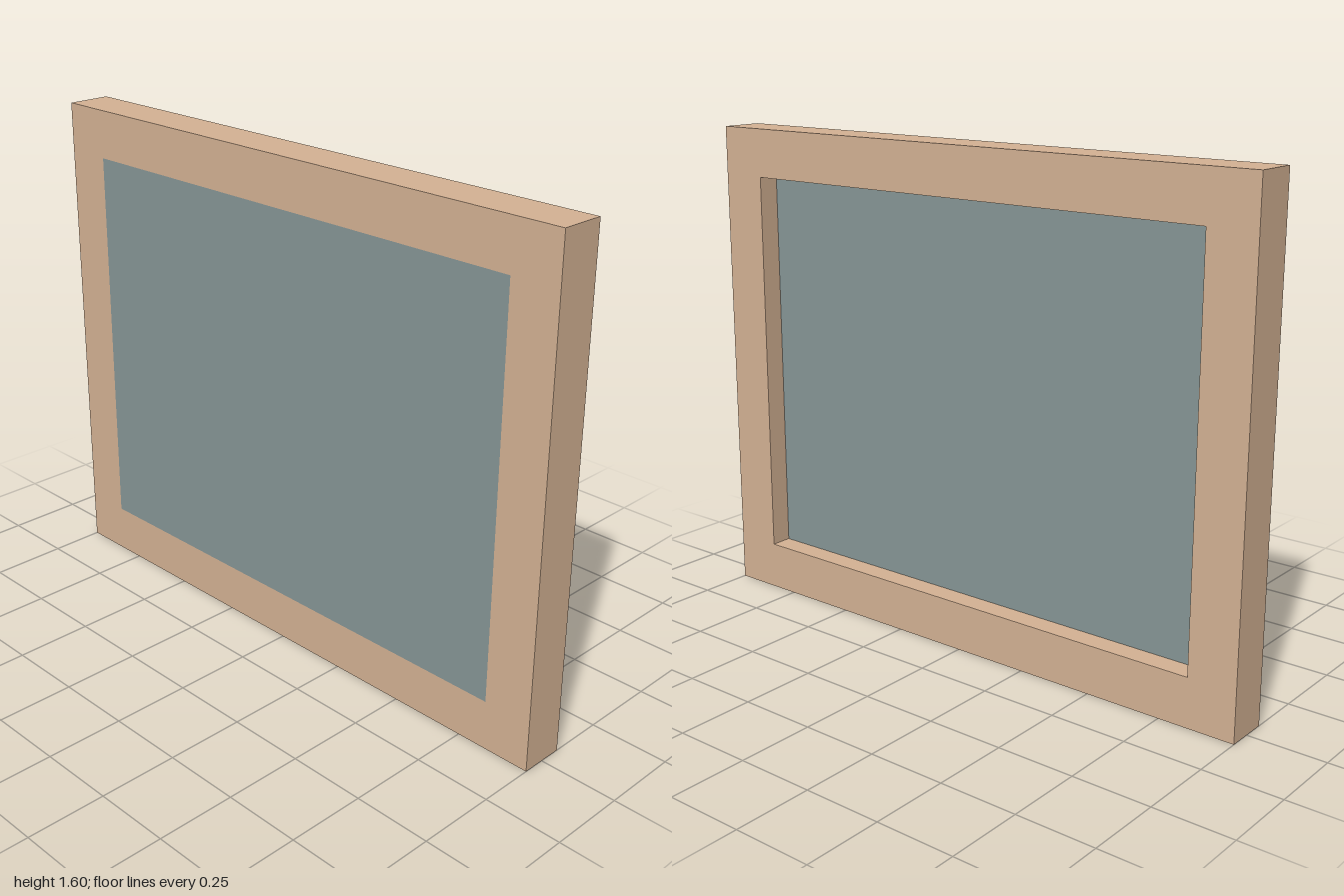
import * as THREE from 'three';

const W = 2, H = 1.6, DEPTH = 0.144, BORDER = 0.158;

// Adds a centred rectangle to a shape or path
function rect(path, w, h) {
  path.moveTo(-w / 2, -h / 2);
  path.lineTo(w / 2, -h / 2);
  path.lineTo(w / 2, h / 2);
  path.lineTo(-w / 2, h / 2);
  path.closePath();
  return path;
}

export function createModel() {
  const model = new THREE.Group();
  model.name = 'framedPanel';
  const innerW = W - 2 * BORDER, innerH = H - 2 * BORDER;

  // Wooden frame with a rectangular opening
  const outline = rect(new THREE.Shape(), W, H);
  outline.holes.push(rect(new THREE.Path(), innerW, innerH));
  const frame = new THREE.Mesh(
    new THREE.ExtrudeGeometry(outline, { depth: DEPTH, bevelEnabled: false }),
    new THREE.MeshStandardMaterial({ color: 0xd4b294 })
  );
  frame.name = 'frame';
  frame.position.set(0, H / 2, -DEPTH / 2);
  model.add(frame);

  // Panel flush with the front, recessed at the back
  const panel = new THREE.Mesh(
    new THREE.BoxGeometry(innerW, innerH, DEPTH / 2),
    new THREE.MeshStandardMaterial({ color: 0x879696 })
  );
  panel.name = 'panel';
  panel.position.set(0, H / 2, DEPTH / 4);
  model.add(panel);

  return model;
}
